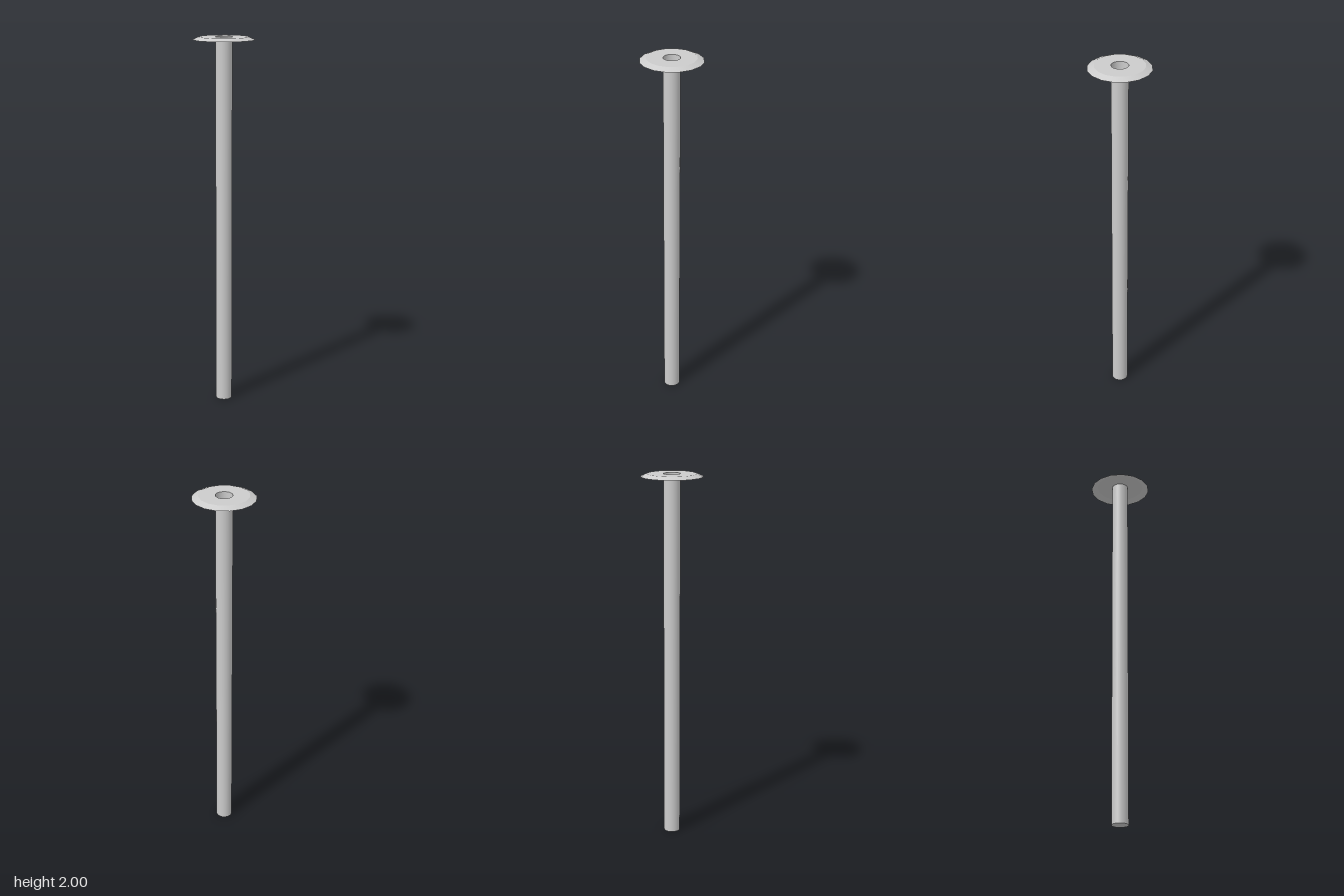
import * as THREE from 'three';

const ROD_R = 0.044, TOP = 2, RIM_Y = 1.985, RIM_R = 0.164, FACE_R = 0.13, SIDES = 16;

export function createModel() {
  const group = new THREE.Group();
  const material = new THREE.MeshStandardMaterial({ color: 0xcccccc, side: THREE.DoubleSide });
  const add = (name, geometry, y) => {
    const mesh = new THREE.Mesh(geometry, material);
    mesh.name = name;
    mesh.position.y = y;
    group.add(mesh);
    return mesh;
  };

  // Hollow shaft, open at the top and closed at the bottom
  add('shaft', new THREE.CylinderGeometry(ROD_R, ROD_R, TOP, 32, 1, true), TOP / 2);
  add('shaftEnd', new THREE.CircleGeometry(ROD_R, 32).rotateX(Math.PI / 2), 0);

  // Flat sixteen-sided head with a round hole
  const face = new THREE.Shape();
  for (let i = 0; i < SIDES; i++) {
    const a = (i / SIDES) * Math.PI * 2;
    face[i ? 'lineTo' : 'moveTo'](FACE_R * Math.cos(a), FACE_R * Math.sin(a));
  }
  face.closePath();
  face.holes.push(new THREE.Path().absarc(0, 0, ROD_R, 0, Math.PI * 2, true));
  add('headFace', new THREE.ShapeGeometry(face, 16).rotateX(-Math.PI / 2), TOP);

  // Thin sloping rim, open underneath
  const h = TOP - RIM_Y;
  add('headRim', new THREE.CylinderGeometry(FACE_R, RIM_R, h, SIDES, 1, true), RIM_Y + h / 2);

  return group;
}
